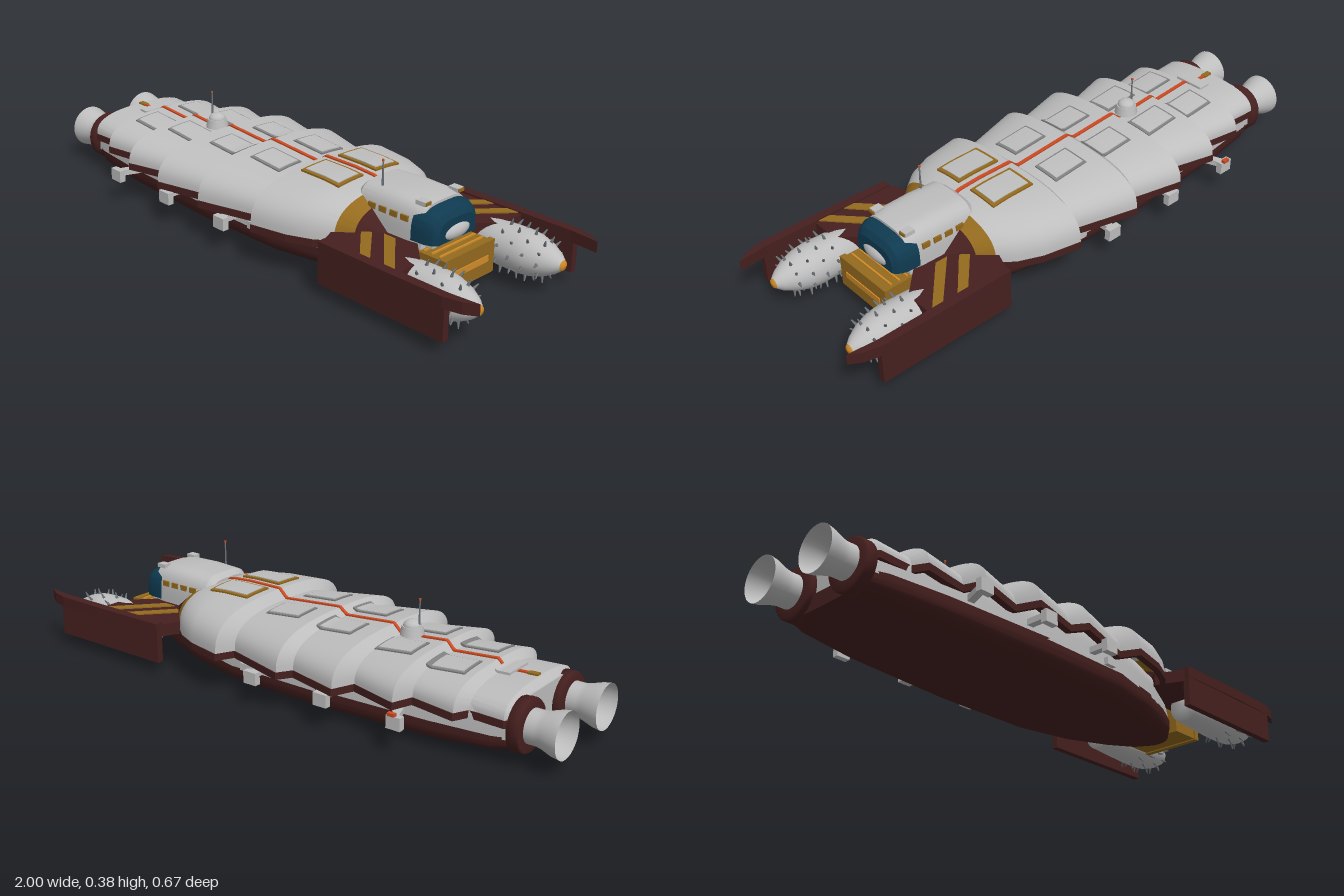
import * as THREE from 'three';
import { mergeGeometries, toCreasedNormals } from 'three/addons/utils/BufferGeometryUtils.js';

const mat = (name, color) => Object.assign(new THREE.MeshStandardMaterial({ color, side: THREE.DoubleSide }), { name });

export function createModel() {
  const root = new THREE.Group();
  root.name = 'miningShip';
  const grey = mat('light grey plating', 0xbebebe);
  const seam = mat('seam grey', 0x808080);
  const steel = mat('spike steel', 0x6c7378);
  const maroon = mat('dark maroon', 0x46201f);
  const gold = mat('dull gold', 0x946a1e);
  const amber = mat('amber', 0xd08c28);
  const navy = mat('navy glass', 0x0f3a50);
  const red = mat('signal red', 0xcc4a22);

  const add = (name, geo, m, x = 0, y = 0, z = 0) => {
    const mesh = new THREE.Mesh(geo, m);
    mesh.name = name;
    mesh.position.set(x, y, z);
    root.add(mesh);
    return mesh;
  };
  const box = (name, m, sx, sy, sz, x, y, z) => add(name, new THREE.BoxGeometry(sx, sy, sz), m, x, y, z);

  // Loft of half superellipses along x: stations are [x, halfWidth, crownY, baseY]
  const loft = (stations, power, caps = true, n = 36) => {
    const pos = [], idx = [], row = n + 1;
    for (const [x, w, crown, base] of stations) {
      for (let i = 0; i <= n; i++) {
        const a = (Math.PI * i) / n, c = Math.cos(a);
        pos.push(x, base + (crown - base) * Math.pow(Math.max(0, Math.sin(a)), power),
          w * Math.sign(c) * Math.pow(Math.abs(c), power));
      }
    }
    const up = stations[0][2] > stations[0][3];
    const tri = (a, b, c) => (up ? idx.push(a, b, c) : idx.push(a, c, b));
    for (let s = 0; s < stations.length - 1; s++) {
      for (let i = 0; i < n; i++) {
        const a = s * row + i, b = a + row;
        tri(a, b, a + 1);
        tri(b, b + 1, a + 1);
      }
    }
    if (caps) {
      const e = (stations.length - 1) * row;
      for (let i = 1; i < n; i++) {
        tri(0, i, i + 1);
        tri(e, e + i + 1, e + i);
      }
    }
    const g = new THREE.BufferGeometry();
    g.setAttribute('position', new THREE.Float32BufferAttribute(pos, 3));
    g.setIndex(idx);
    return toCreasedNormals(g, 0.45);
  };

  // Flat plate cut from an x/z outline
  const plate = (name, m, pts, y0, y1) => {
    const shape = new THREE.Shape(pts.map(([x, z]) => new THREE.Vector2(x, -z)));
    const g = new THREE.ExtrudeGeometry(shape, { depth: y1 - y0, bevelEnabled: false });
    return add(name, g.rotateX(-Math.PI / 2), m, 0, y0, 0);
  };

  // Overlapping armour: every section is widest just ahead of its rear edge
  const BASE = 0.145, P = 0.72;
  const profile = [
    [-0.86, 0.185, 0.2], [-0.84, 0.205, 0.222], [-0.725, 0.2, 0.216], [-0.7, 0.25, 0.24],
    [-0.545, 0.225, 0.228], [-0.52, 0.295, 0.255], [-0.35, 0.25, 0.24], [-0.32, 0.325, 0.268],
    [-0.135, 0.28, 0.254], [-0.105, 0.328, 0.276], [0.12, 0.267, 0.258], [0.15, 0.328, 0.287],
    [0.28, 0.3, 0.287], [0.36, 0.265, 0.282], [0.41, 0.225, 0.268],
  ];
  const withBase = (list, base) => list.map(([x, w, t]) => [x, w, t, base]);
  add('armourShell', loft(withBase(profile, BASE), P, false), grey);
  add('goldBowBand', loft(withBase([[0.41, 0.225, 0.268], [0.455, 0.185, 0.245]], BASE), P, false), gold);
  add('bowCollar', loft(withBase([[0.455, 0.185, 0.245], [0.53, 0.12, 0.19]], BASE), P), maroon);

  // Dark trim along the lower edge of the armour
  for (const s of [1, -1]) {
    const outer = profile.map(([x, w]) => [x, s * (w + 0.003)]);
    const inner = profile.map(([x, w]) => [x, s * (w - 0.02)]).reverse();
    plate('armourTrim', maroon, [...outer, ...inner], 0.126, 0.15);
  }

  // Inner hull and belly
  const core = [[-0.865, 0.19, 0.2], [-0.6, 0.22, 0.2], [-0.2, 0.25, 0.22], [0.15, 0.25, 0.22],
    [0.4, 0.19, 0.2], [0.55, 0.12, 0.18], [0.65, 0.06, 0.15]];
  add('innerHull', loft(withBase(core, 0.085), 0.4), grey);
  add('belly', loft([[-0.87, 0.18, 0.04, 0.092], [-0.8, 0.205, 0.02, 0.092], [-0.6, 0.228, 0.006, 0.092],
    [-0.2, 0.25, 0, 0.092], [0.15, 0.245, 0, 0.092], [0.35, 0.205, 0.006, 0.092], [0.5, 0.15, 0.018, 0.092],
    [0.6, 0.1, 0.03, 0.092], [0.66, 0.05, 0.045, 0.092]], 0.6), maroon);

  // Height of the armour at a point, for parts that follow its surface
  const surface = (x, z) => {
    let i = 0;
    while (i < profile.length - 2 && profile[i + 1][0] < x) i++;
    const [a, b] = [profile[i], profile[i + 1]];
    const t = (x - a[0]) / (b[0] - a[0]);
    const w = a[1] + (b[1] - a[1]) * t, top = a[2] + (b[2] - a[2]) * t;
    const k = Math.max(0, 1 - Math.pow(Math.abs(z) / w, 2 / P));
    return BASE + (top - BASE) * Math.pow(k, P / 2);
  };
  const patch = (name, m, x, z, lx, lz, lift, segs = 6) => {
    const g = new THREE.BoxGeometry(lx, 0.008, lz, segs, 1, 4).translate(x, 0, z);
    const p = g.attributes.position;
    for (let i = 0; i < p.count; i++) p.setY(i, p.getY(i) + lift + surface(p.getX(i), p.getZ(i)));
    g.computeVertexNormals();
    return add(name, g, m);
  };
  patch('spineLine', red, -0.22, 0, 1.2, 0.012, 0.001, 150);
  patch('sternMark', gold, -0.82, 0, 0.035, 0.02, 0.002);
  patch('sternHatch', grey, -0.745, 0, 0.05, 0.11, 0.008);
  for (const s of [1, -1]) {
    for (const x of [-0.605, -0.418, -0.19, 0.018]) {
      patch('hatchSeam', seam, x, s * 0.097, 0.135, 0.1, 0);
      patch('hatchPanel', grey, x, s * 0.097, 0.118, 0.084, 0.003);
    }
    patch('goldHatchFrame', gold, 0.26, s * 0.083, 0.165, 0.11, 0.002);
    patch('goldHatchPanel', grey, 0.26, s * 0.083, 0.142, 0.088, 0.005);
  }

  // Cabin and windscreen
  add('cabin', loft(withBase([[0.38, 0.1, 0.285], [0.4, 0.11, 0.302], [0.5, 0.112, 0.307],
    [0.6, 0.11, 0.305], [0.645, 0.102, 0.296]], 0.16), 0.5), grey);
  add('windscreen', loft(withBase([[0.612, 0.112, 0.288], [0.66, 0.11, 0.287], [0.685, 0.1, 0.275],
    [0.698, 0.085, 0.255]], 0.185), 0.55), navy);
  add('cabinChin', new THREE.SphereGeometry(1, 24, 16).scale(0.035, 0.032, 0.075), grey, 0.675, 0.208, 0);
  box('cabinSill', grey, 0.09, 0.025, 0.17, 0.63, 0.18, 0);
  for (const s of [1, -1]) {
    for (let i = 0; i < 4; i++) box('cabinSideWindow', gold, 0.028, 0.018, 0.008, 0.455 + i * 0.043, 0.246, s * 0.108);
    box('roofLamp', grey, 0.035, 0.014, 0.028, 0.625, 0.299, s * 0.075);
    box('roofLampLens', gold, 0.005, 0.01, 0.024, 0.644, 0.299, s * 0.075);
  }

  // Masts and sensor turret
  const mast = (x, y, z, h) => {
    add('mast', new THREE.CylinderGeometry(0.0022, 0.0035, h, 8), steel, x, y + h / 2, z);
    add('mastTip', new THREE.CylinderGeometry(0.004, 0.004, 0.006, 8), red, x, y + h, z);
  };
  mast(0.46, 0.3, 0.07, 0.082);
  mast(-0.415, 0.28, 0, 0.088);
  add('turretBase', new THREE.CylinderGeometry(0.034, 0.04, 0.03, 16), grey, -0.39, 0.262, 0);
  add('turretDome', new THREE.SphereGeometry(0.03, 16, 8, 0, Math.PI * 2, 0, Math.PI / 2).scale(1, 0.7, 1), grey, -0.39, 0.277, 0);

  // Front ramp between the drills
  box('rampBlock', gold, 0.11, 0.1, 0.22, 0.68, 0.108, 0);
  box('rampPlate', gold, 0.02, 0.108, 0.23, 0.74, 0.108, 0);
  box('rampLight', amber, 0.005, 0.02, 0.17, 0.751, 0.108, 0);
  for (let i = 0; i < 3; i++) box('rampRib', amber, 0.006, 0.006, 0.2, 0.655 + i * 0.03, 0.16, 0);

  // Turned shapes along x from [x, radius] points
  const turned = (name, m, pts, y, z, segs = 28) =>
    add(name, new THREE.LatheGeometry(pts.map(([x, r]) => new THREE.Vector2(r, x)), segs).rotateZ(-Math.PI / 2), m, 0, y, z);
  const spikes = [];
  const up = new THREE.Vector3(0, 1, 0);
  [[0.75, 0.071], [0.795, 0.071], [0.84, 0.067], [0.885, 0.054]].forEach(([x, r], ring) => {
    for (let i = 0; i < 10; i++) {
      const a = ((i + (ring % 2) / 2) / 10) * Math.PI * 2;
      const dir = new THREE.Vector3(0.3, Math.cos(a), Math.sin(a)).normalize();
      const q = new THREE.Quaternion().setFromUnitVectors(up, dir);
      spikes.push(new THREE.CylinderGeometry(0.002, 0.006, 0.026, 6).applyQuaternion(q)
        .translate(x, Math.cos(a) * (r + 0.006), Math.sin(a) * (r + 0.006)));
    }
  });
  const spikeGeo = mergeGeometries(spikes);

  for (const s of [1, -1]) {
    const side = pts => pts.map(([x, z]) => [x, s * z]);
    // Fork deck with hazard stripes and outer guard
    plate('forkDeck', maroon, side([[0.39, 0.2], [0.435, 0.31], [0.72, 0.31], [0.72, 0.19], [0.63, 0.1], [0.45, 0.1]]), 0.135, 0.178);
    for (const [x0, z0, x1] of [[0.45, 0.15, 0.585], [0.525, 0.13, 0.68]]) {
      plate('hazardStripe', gold, side([[x0, z0], [x0 + 0.045, z0], [x1 + 0.04, 0.3], [x1, 0.3]]), 0.176, 0.182);
    }
    box('guardFin', maroon, 0.48, 0.11, 0.023, 0.67, 0.1, s * 0.302);
    plate('guardLip', maroon, side([[0.43, 0.285], [0.43, 0.315], [0.72, 0.318], [0.9, 0.315], [0.96, 0.3], [1, 0.275], [0.9, 0.285]]), 0.148, 0.185);
    // Drill
    turned('drill', grey, [[0.56, 0], [0.56, 0.06], [0.72, 0.069], [0.8, 0.071], [0.84, 0.067], [0.885, 0.053],
      [0.92, 0.034], [0.94, 0.017]], 0.112, s * 0.197);
    turned('drillTip', amber, [[0.938, 0.018], [0.945, 0.014], [0.948, 0]], 0.112, s * 0.197, 16);
    add('drillSpikes', spikeGeo, steel, 0, 0.112, s * 0.197);
    // Engine
    turned('engineCollar', maroon, [[-0.89, 0.05], [-0.89, 0.08], [-0.882, 0.085], [-0.85, 0.085], [-0.84, 0.06]], 0.118, s * 0.125);
    turned('nozzle', grey, [[-1, 0.074], [-0.975, 0.07], [-0.94, 0.058], [-0.92, 0.054], [-0.88, 0.054]], 0.121, s * 0.127);
    turned('nozzleThroat', seam, [[-0.925, 0], [-0.92, 0.054]], 0.121, s * 0.127);
    // Outrigger brackets under the armour
    for (const x of [-0.55, -0.28, 0]) {
      const strut = box('bracketArm', grey, 0.025, 0.02, 0.11, x + (x < -0.5 ? 0.02 : 0), 0.115, s * 0.275);
      if (x < -0.5) strut.rotation.y = -s * 0.35;
      box('bracketFoot', grey, 0.05, 0.042, 0.022, x, 0.106, s * 0.323);
    }
    box('sideBlock', grey, 0.04, 0.025, 0.03, 0.08, 0.1, s * 0.25);
  }
  box('strutLamp', red, 0.025, 0.01, 0.014, -0.545, 0.133, -0.333);
  return root;
}
